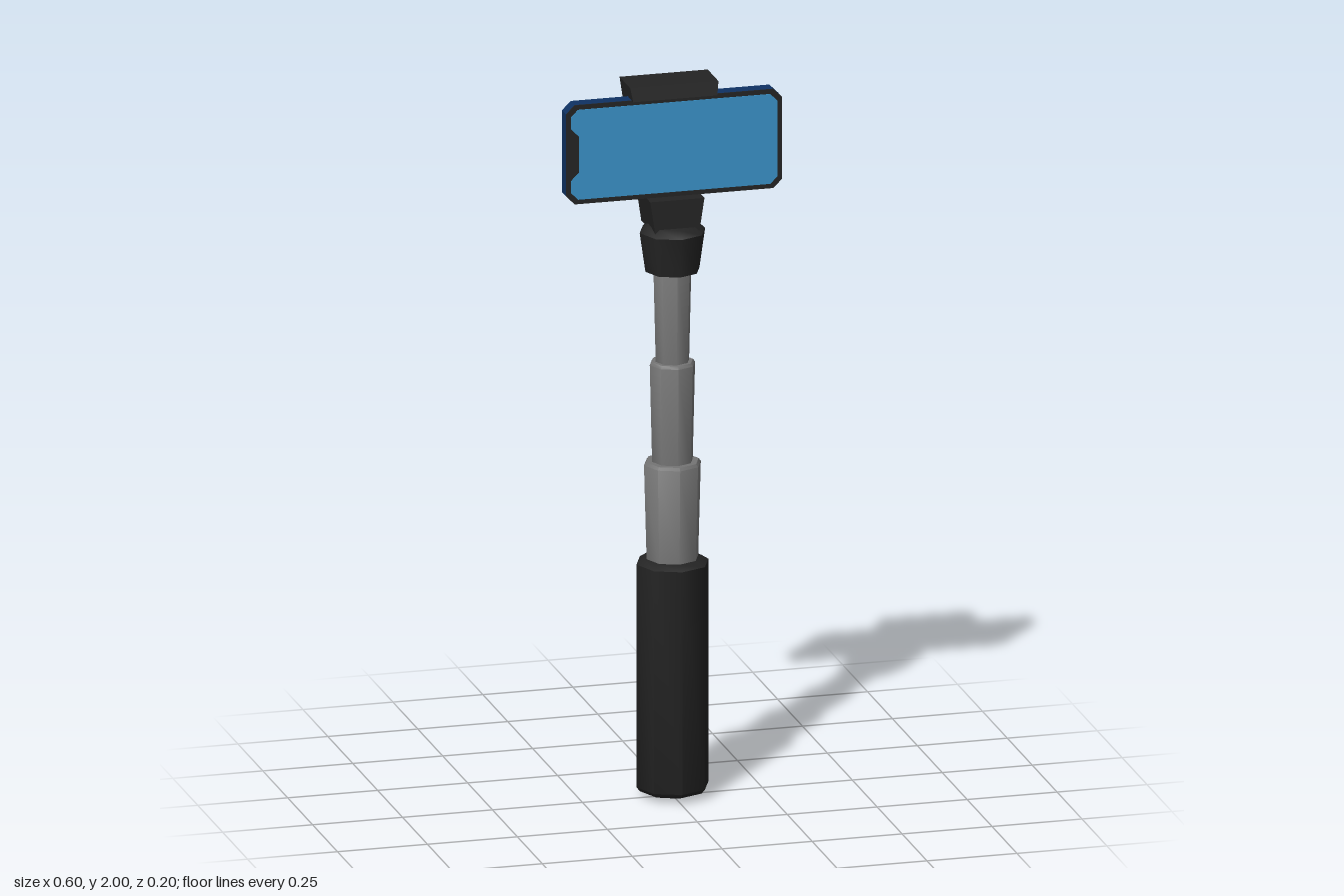
import * as THREE from 'three';
import { toCreasedNormals } from 'three/addons/utils/BufferGeometryUtils.js';

export function createModel() {
  const root = new THREE.Group();
  const mat = (name, color) => {
    const m = new THREE.MeshStandardMaterial({ color });
    m.name = name;
    return m;
  };
  const black = mat('black plastic', 0x242424);
  const grey = mat('grey metal', 0x757575);
  const blue = mat('blue casing', 0x0f3263);
  const glass = mat('blue screen', 0x3a92c8);
  const dark = mat('dark lens', 0x1b1b1b);

  const add = (name, geometry, material, parent = root) => {
    const m = new THREE.Mesh(geometry, material);
    m.name = name;
    parent.add(m);
    return m;
  };
  const shapeOf = (pts) => new THREE.Shape(pts.map(([x, y]) => new THREE.Vector2(x, y)));

  // Eight-sided turned part from a [radius, height] profile, bottom to top
  const turned = (name, profile, material) => {
    const g = new THREE.LatheGeometry(profile.map(([r, y]) => new THREE.Vector2(r, y)), 8);
    return add(name, toCreasedNormals(g, 0.87), material);
  };

  // Handle grip with a shallow domed base
  turned('handleGrip', [[0, 0], [0.06, 0.008], [0.09, 0.018], [0.1, 0.03],
    [0.1, 0.655], [0.08, 0.668], [0, 0.668]], black);

  // Telescopic tubes, each flaring slightly to a rim
  [
    ['lowerTube', 0.64, 0.94, 0.071, 0.079],
    ['middleTube', 0.92, 1.22, 0.056, 0.063],
    ['upperTube', 1.2, 1.5, 0.046, 0.053],
  ].forEach(([name, y0, y1, r0, r1]) =>
    turned(name, [[r0, y0], [r1, y1 - 0.008], [r1 - 0.006, y1], [0, y1]], grey));

  // Collar under the clamp
  turned('collar', [[0, 1.475], [0.075, 1.475], [0.091, 1.585], [0.07, 1.605], [0, 1.605]], black);

  // Clamp: C-shaped side profile in (z, y), widening towards the top
  const clampShape = shapeOf([
    [-0.092, 1.59], [0.05, 1.59], [0.05, 1.685], [-0.025, 1.685],
    [-0.025, 1.963], [0.029, 1.963], [0.02, 2], [-0.088, 2],
  ]);
  const clamp = new THREE.ExtrudeGeometry(clampShape, { depth: 1, bevelEnabled: false });
  clamp.rotateY(-Math.PI / 2).translate(0.5, 0, 0);
  const p = clamp.attributes.position;
  for (let i = 0; i < p.count; i++) {
    const halfWidth = 0.061 + 0.15 * (p.getY(i) - 1.59);
    p.setX(i, p.getX(i) * 2 * halfWidth);
  }
  clamp.computeVertexNormals();
  add('clamp', clamp, black);

  // Phone, centred on its own group
  const phone = new THREE.Group();
  phone.name = 'phone';
  phone.position.y = 1.825;
  root.add(phone);

  // Rectangle with cut corners
  const cutRect = (w, h, c) => [
    [-w, -h + c], [-w + c, -h], [w - c, -h], [w, -h + c],
    [w, h - c], [w - c, h], [-w + c, h], [-w, h - c],
  ];
  const slab = (pts, z0, z1) => new THREE.ExtrudeGeometry(shapeOf(pts),
    { depth: z1 - z0, bevelEnabled: false }).translate(0, 0, z0);

  add('phoneBody', slab(cutRect(0.3, 0.139, 0.024), -0.025, 0.014), blue, phone);
  add('bezel', slab(cutRect(0.3, 0.139, 0.024), 0.014, 0.017), black, phone);

  // Screen outline with a notch cut into its right-hand end
  const screenPts = cutRect(0.287, 0.126, 0.02);
  screenPts.push([-0.287, 0.073], [-0.264, 0.05], [-0.264, -0.05], [-0.287, -0.073]);
  add('screen', slab(screenPts, 0.017, 0.019), glass, phone);

  // Camera bump with two diagonal lenses on the back
  const bump = new THREE.ExtrudeGeometry(shapeOf(cutRect(0.056, 0.056, 0.016)),
    { depth: 0.002, bevelThickness: 0.005, bevelSize: 0.006, bevelSegments: 1 });
  bump.translate(-0.222, 0.047, -0.027);
  add('cameraBump', bump, blue, phone);
  for (const [x, y] of [[-0.247, 0.073], [-0.197, 0.021]]) {
    const lens = new THREE.CylinderGeometry(0.027, 0.027, 0.012, 12).rotateX(Math.PI / 2);
    add('cameraLens', lens, dark, phone).position.set(x, y, -0.033);
  }

  return root;
}
